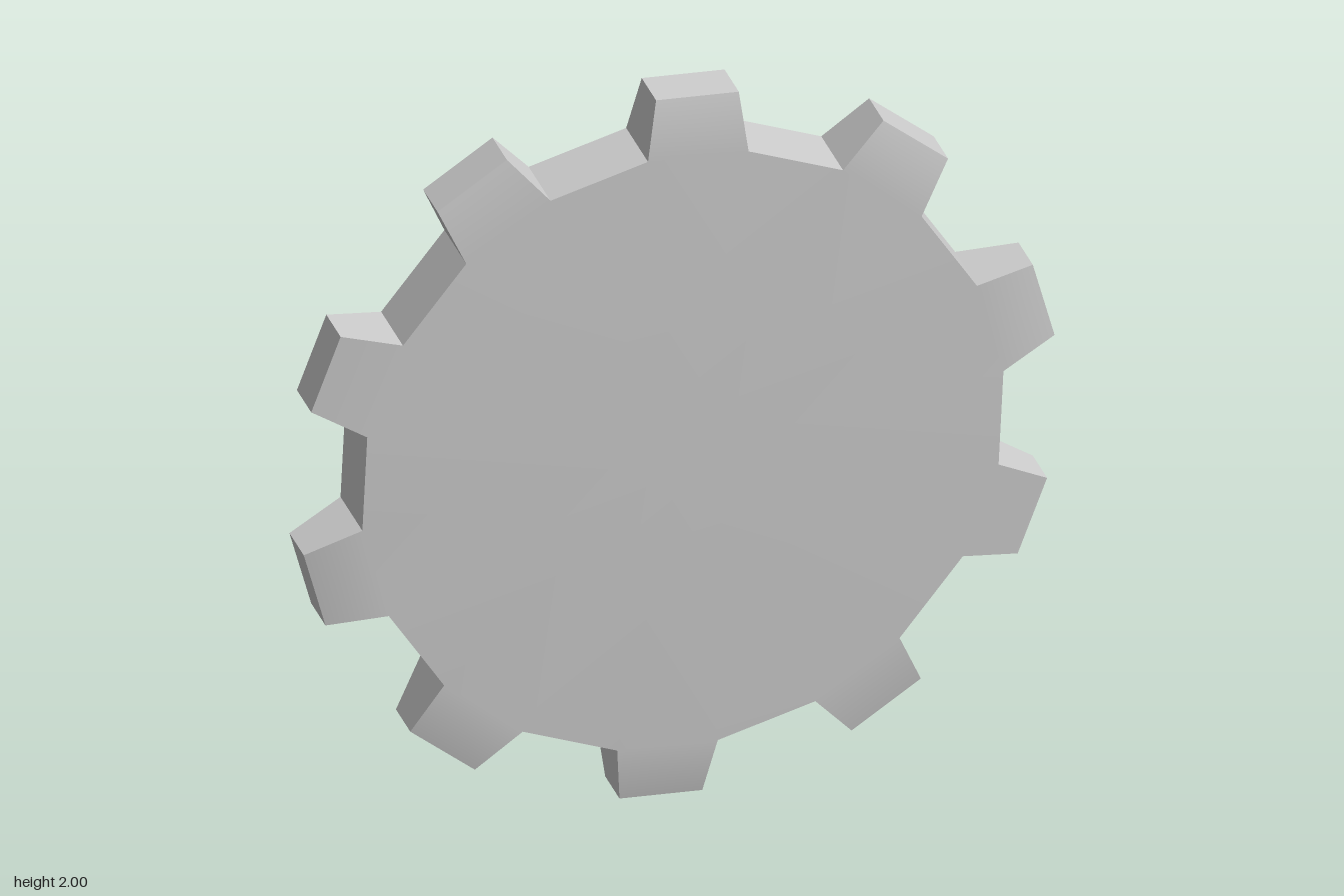
import * as THREE from 'three';

const TEETH = 10;
const START = Math.PI / 2 - 0.033;
// Tooth outline, counter-clockwise: radial distance, sideways offset, half thickness
const TOOTH = [
  [0.838, -0.1325, 0.093],
  [0.994, -0.109, 0.061],
  [0.994, 0.109, 0.061],
  [0.838, 0.1325, 0.093],
];

function outline() {
  const pts = [];
  for (let i = 0; i < TEETH; i++) {
    const a = START + (i / TEETH) * Math.PI * 2;
    const c = Math.cos(a), s = Math.sin(a);
    for (const [r, t, h] of TOOTH) pts.push(new THREE.Vector3(r * c - t * s, r * s + t * c, h));
  }
  return pts;
}

// Smooth face: flat disc fanned from the centre, with teeth that thin towards their tips
function faceGeometry(pts, side) {
  const pos = [0, 0, 0.093 * side];
  pts.forEach(p => pos.push(p.x, p.y, p.z * side));
  const index = [];
  const tri = (a, b, c) => (side > 0 ? index.push(a, b, c) : index.push(a, c, b));
  for (let i = 0; i < TEETH; i++) {
    const k = 1 + i * 4;
    const next = 1 + ((i + 1) % TEETH) * 4;
    tri(0, k, k + 3);
    tri(0, k + 3, next);
    tri(k, k + 1, k + 2);
    tri(k, k + 2, k + 3);
  }
  const g = new THREE.BufferGeometry();
  g.setAttribute('position', new THREE.Float32BufferAttribute(pos, 3));
  g.setIndex(index);
  g.computeVertexNormals();
  return g;
}

// Flat-sided rim following the toothed outline
function rimGeometry(pts) {
  const pos = [];
  pts.forEach((p, i) => {
    const q = pts[(i + 1) % pts.length];
    const pf = [p.x, p.y, p.z], pb = [p.x, p.y, -p.z];
    const qf = [q.x, q.y, q.z], qb = [q.x, q.y, -q.z];
    pos.push(...pb, ...qb, ...qf, ...pb, ...qf, ...pf);
  });
  const g = new THREE.BufferGeometry();
  g.setAttribute('position', new THREE.Float32BufferAttribute(pos, 3));
  g.computeVertexNormals();
  return g;
}

export function createModel() {
  const material = new THREE.MeshStandardMaterial({ color: 0xcccccc });
  const gear = new THREE.Group();
  gear.name = 'gear';
  const add = (geometry, name) => {
    const mesh = new THREE.Mesh(geometry, material);
    mesh.name = name;
    gear.add(mesh);
  };

  const pts = outline();
  add(faceGeometry(pts, 1), 'frontFace');
  add(faceGeometry(pts, -1), 'backFace');
  add(rimGeometry(pts), 'toothedRim');

  // Slight lean of the whole wheel
  gear.rotation.set(0.047, -0.018, 0);
  gear.position.y = 1;

  const model = new THREE.Group();
  model.name = 'gearWheel';
  model.add(gear);
  return model;
}
